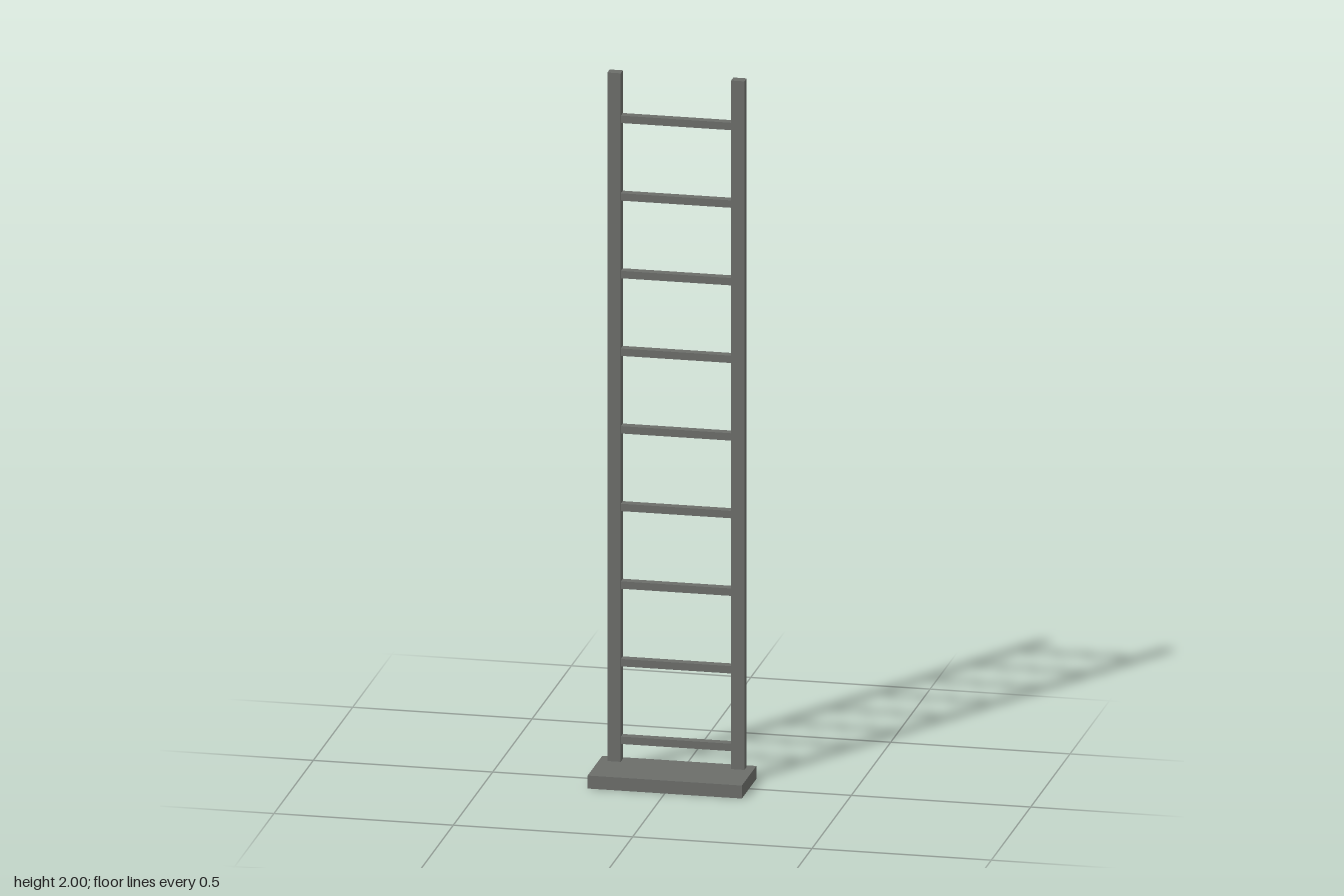
import * as THREE from 'three';

export function createModel() {
  const model = new THREE.Group();
  model.name = 'ladder';
  const metal = new THREE.MeshStandardMaterial({ color: 0x6b6d69 });
  metal.name = 'dark grey metal';

  const addBox = (name, w, h, d, x, y, z) => {
    const mesh = new THREE.Mesh(new THREE.BoxGeometry(w, h, d), metal);
    mesh.name = name;
    mesh.position.set(x, y, z);
    model.add(mesh);
  };

  const baseHeight = 0.037;
  const ladderZ = -0.064;

  // Foot plate
  addBox('basePlate', 0.43, baseHeight, 0.185, 0, baseHeight / 2, 0);

  // Upright rails
  const railHeight = 2 - baseHeight;
  for (const [name, side] of [['leftRail', 1], ['rightRail', -1]]) {
    addBox(name, 0.037, railHeight, 0.029, side * 0.1725, baseHeight + railHeight / 2, ladderZ);
  }

  // Evenly spaced rungs between the rails
  for (let i = 0; i < 9; i++) {
    addBox(`rung${i + 1}`, 0.308, 0.021, 0.025, 0, 0.098 + i * 0.2213, ladderZ);
  }

  return model;
}
